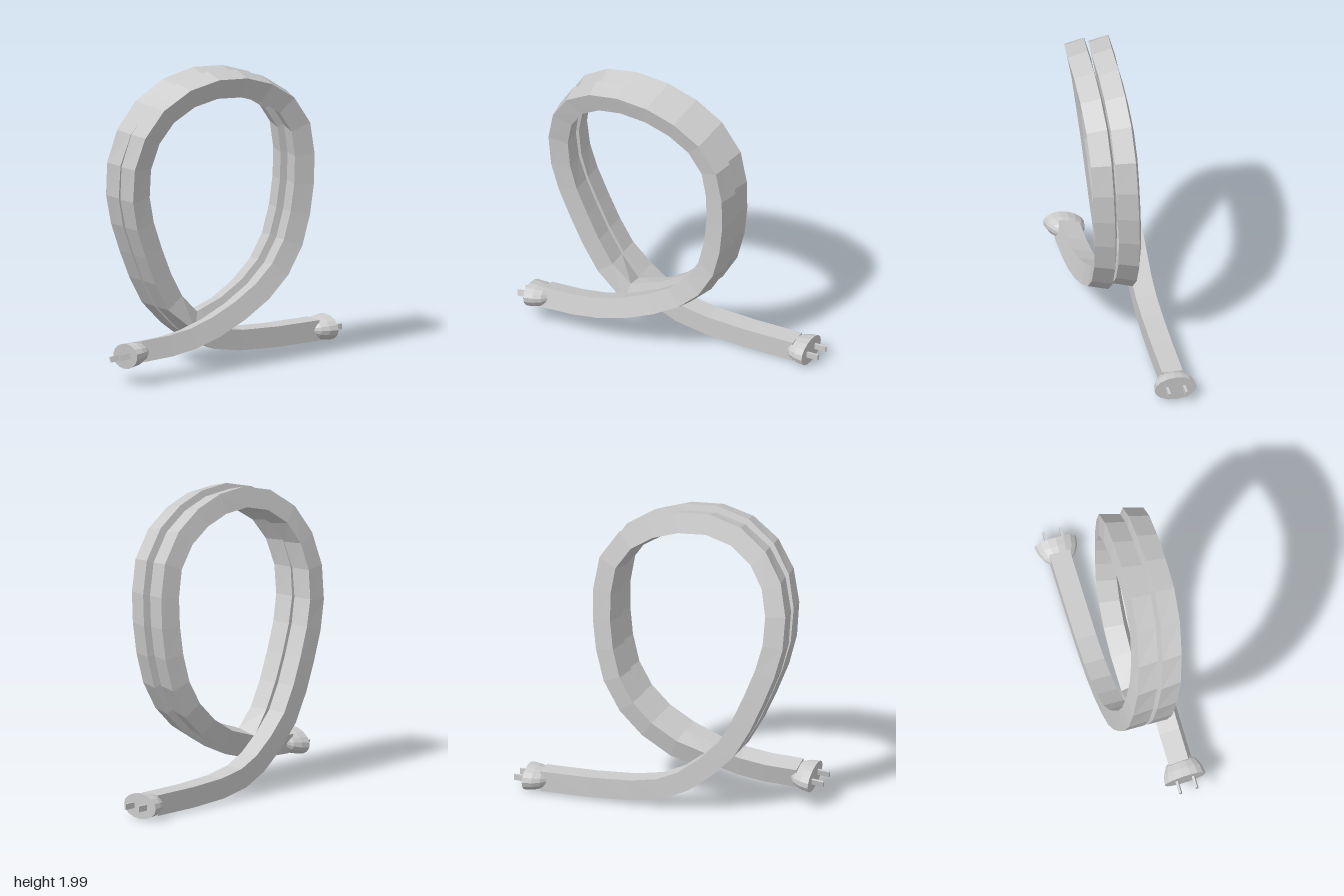
import * as THREE from 'three';

const material = new THREE.MeshStandardMaterial({ color: 0xcccccc, flatShading: true });
const HALF = 0.068; // half the thickness of the square cord
const PITCH = 0.16; // sideways distance between the two coils

// Path points are [x, y, z, roll in degrees]
const rise = [
  [0.17, 0.297, 0.235, 15], [0.165, 0.38, 0.04, 15], [0.165, 0.487, -0.14, 15], [0.17, 0.62, -0.28, 15],
  [0.177, 0.79, -0.38, 15], [0.186, 0.985, -0.432, 15], [0.195, 1.18, -0.455, 15], [0.203, 1.375, -0.455, 15],
  [0.208, 1.57, -0.42, 15], [0.21, 1.735, -0.305, 15], [0.212, 1.84, -0.14, 15], [0.212, 1.9, 0.045, 15],
  [0.208, 1.915, 0.25, 15],
];
const fall = [
  [0.187, 1.87, 0.445, 13], [0.15, 1.76, 0.61, 10], [0.112, 1.6, 0.715, 7], [0.073, 1.405, 0.76, 4],
  [0.048, 1.2, 0.752, 2], [0.032, 1.015, 0.705, 0], [0.02, 0.825, 0.63, 0], [0.011, 0.645, 0.55, 0],
  [0.004, 0.47, 0.45, 0],
];
const shift = (points) => points.map(([x, y, z, r]) => [x - PITCH, y, z, r]);

const path = [
  [0.175, 0.212, 0.82, 15], [0.175, 0.22, 0.6, 15], [0.174, 0.245, 0.42, 15],
  ...rise, ...fall,
  [0.012, 0.31, 0.29, 15], // tight turn into the second coil
  ...shift(rise.slice(1)), ...shift(fall),
  [-0.162, 0.33, 0.31, 0], [-0.165, 0.215, 0.16, 0], [-0.168, 0.143, 0, 0],
  [-0.17, 0.107, -0.2, 0], [-0.171, 0.092, -0.48, 0], [-0.172, 0.09, -0.82, 0],
];

// Sweep a square along the path, leaning each section by its roll
function cordGeometry() {
  const positions = [];
  const index = [];
  const centres = path.map(([x, y, z]) => new THREE.Vector3(x, y, z));
  const last = path.length - 1;
  const direction = (a, b) => centres[b].clone().sub(centres[a]).setX(0).normalize();
  path.forEach((point, i) => {
    const tangent = direction(Math.max(i - 1, 0), Math.min(i, last - 1) + (i === 0 ? 1 : 0) || 1);
    if (i > 0 && i < last) tangent.add(direction(i, i + 1)).normalize();
    if (i === last) tangent.copy(direction(last - 1, last));
    const side = new THREE.Vector3(1, 0, 0);
    const outward = tangent.clone().cross(side);
    const roll = -THREE.MathUtils.degToRad(point[3]);
    side.applyAxisAngle(tangent, roll);
    outward.applyAxisAngle(tangent, roll);
    for (const [s, n] of [[1, 1], [-1, 1], [-1, -1], [1, -1]]) {
      const corner = centres[i].clone().addScaledVector(side, s * HALF).addScaledVector(outward, n * HALF);
      positions.push(corner.x, corner.y, corner.z);
    }
    if (i === last) return;
    for (let j = 0; j < 4; j++) {
      const a = i * 4 + j;
      const b = i * 4 + ((j + 1) % 4);
      index.push(a, b, b + 4, a, b + 4, a + 4);
    }
  });
  // end caps
  const e = last * 4;
  index.push(0, 2, 1, 0, 3, 2, e, e + 1, e + 2, e, e + 2, e + 3);
  const geometry = new THREE.BufferGeometry();
  geometry.setAttribute('position', new THREE.Float32BufferAttribute(positions, 3));
  geometry.setIndex(index);
  const flat = geometry.toNonIndexed();
  flat.computeVertexNormals();
  return flat;
}

// Flattened dome with two prongs, its face at z = 0 looking along +z
function makePlug(name) {
  const plug = new THREE.Group();
  plug.name = name;
  const profile = [[0, -0.15], [0.07, -0.14], [0.105, -0.11], [0.13, -0.06], [0.14, 0], [0, 0]];
  const dome = new THREE.LatheGeometry(profile.map(([r, y]) => new THREE.Vector2(r, y)), 16);
  dome.rotateX(Math.PI / 2).scale(1, 0.6, 1);
  const body = new THREE.Mesh(dome, material);
  body.name = 'plugBody';
  plug.add(body);
  for (const sx of [-1, 1]) {
    const prong = new THREE.Mesh(new THREE.BoxGeometry(0.016, 0.038, 0.1), material);
    prong.name = 'prong';
    prong.position.set(sx * 0.056, 0, 0.03);
    plug.add(prong);
  }
  return plug;
}

export function createModel() {
  const model = new THREE.Group();
  model.name = 'coiledCord';

  const cord = new THREE.Mesh(cordGeometry(), material);
  cord.name = 'cord';
  model.add(cord);

  const frontPlug = makePlug('frontPlug');
  frontPlug.position.set(0.175, 0.198, 0.92);
  frontPlug.rotation.set(0.1, 0, THREE.MathUtils.degToRad(15));
  model.add(frontPlug);

  const backPlug = makePlug('backPlug');
  backPlug.position.set(-0.172, 0.092, -0.92);
  backPlug.rotation.y = Math.PI;
  model.add(backPlug);

  return model;
}
